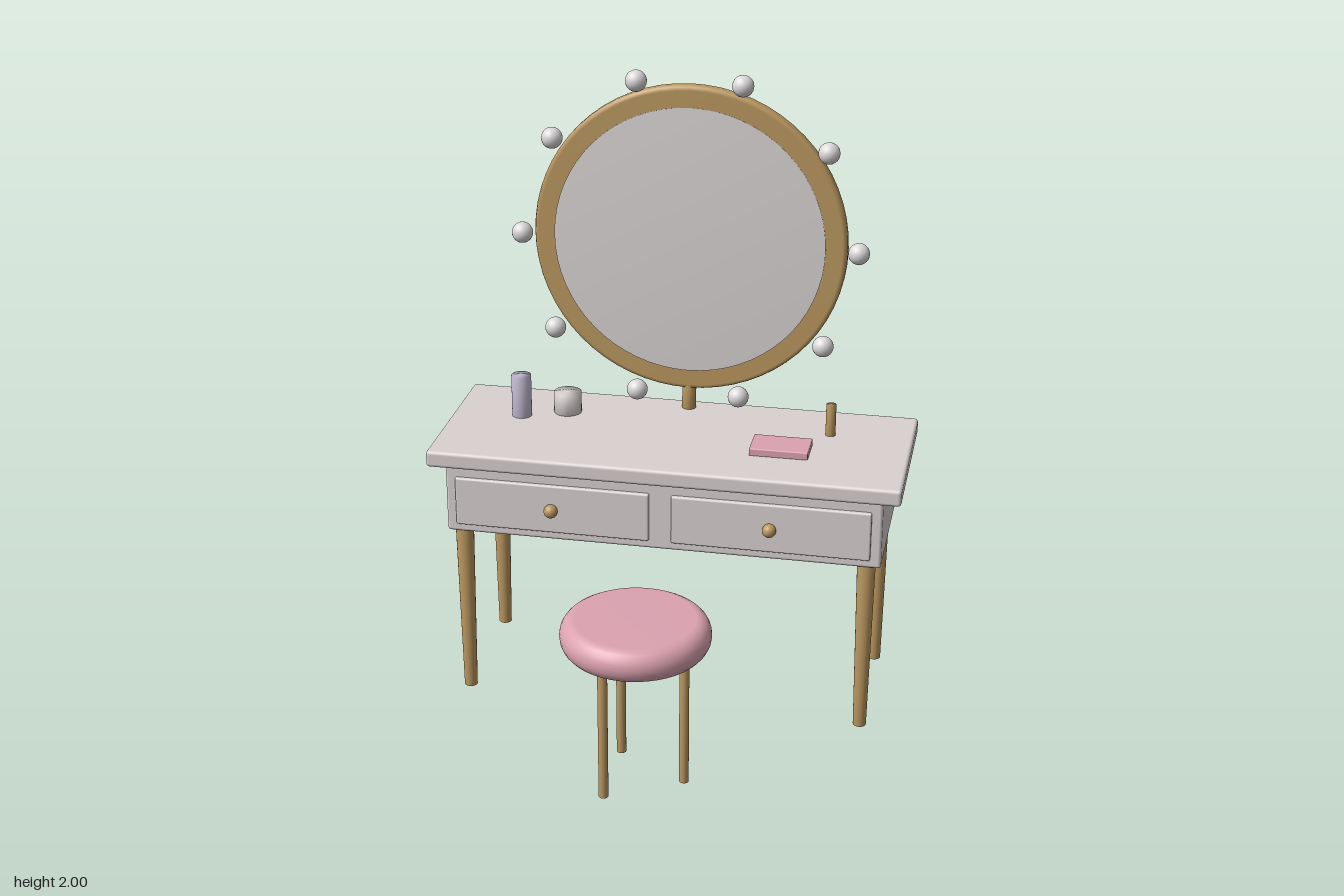
import * as THREE from 'three';
import { mergeVertices } from 'three/addons/utils/BufferGeometryUtils.js';
import { RoundedBoxGeometry } from 'three/addons/geometries/RoundedBoxGeometry.js';

const mat = (name, color) => {
  const m = new THREE.MeshStandardMaterial({ color });
  m.name = name;
  return m;
};

export function createModel() {
  const root = new THREE.Group();
  root.name = 'vanityTable';
  const white = mat('warmWhite', 0xd9d2d1);
  const gold = mat('brushedGold', 0xbb9860);
  const pink = mat('rosePink', 0xdca2b0);
  const lavender = mat('lavender', 0xc6bdd5);
  const silver = mat('mirrorSilver', 0xdad5d4);
  const glow = mat('bulbWhite', 0xdcd9da);

  const add = (name, geometry, material, x, y, z) => {
    const mesh = new THREE.Mesh(geometry, material);
    mesh.name = name;
    mesh.position.set(x, y, z);
    root.add(mesh);
    return mesh;
  };
  // box given by its extents, with softened edges
  const box = (name, material, x0, x1, y0, y1, z0, z1, bevel) =>
    add(name, new RoundedBoxGeometry(x1 - x0, y1 - y0, z1 - z0, 2, bevel), material,
      (x0 + x1) / 2, (y0 + y1) / 2, (z0 + z1) / 2);
  // cylinder whose normals blend smoothly over the rims
  const softCylinder = (rTop, rBottom, height, sides) => {
    const g = new THREE.CylinderGeometry(rTop, rBottom, height, sides);
    g.deleteAttribute('normal');
    g.deleteAttribute('uv');
    const merged = mergeVertices(g);
    merged.computeVertexNormals();
    return merged;
  };
  const post = (name, material, x, z, y0, y1, rTop, rBottom = rTop, sides = 20) =>
    add(name, softCylinder(rTop, rBottom, y1 - y0, sides), material, x, (y0 + y1) / 2, z);

  // table top and carcass
  box('tableTop', white, -0.745, 0.745, 0.822, 0.876, -0.575, -0.007, 0.011);
  box('carcass', white, -0.69, 0.69, 0.595, 0.824, -0.535, -0.033, 0.01);

  // drawers, knobs and tapered legs
  for (const s of [-1, 1]) {
    box('drawerFront', white, s * 0.346 - 0.311, s * 0.346 + 0.311, 0.625, 0.786, -0.048, -0.02, 0.006);
    add('drawerKnob', new THREE.SphereGeometry(0.022, 20, 14), gold, s * 0.345, 0.705, -0.01);
    for (const z of [-0.067, -0.503]) post('tableLeg', gold, s * 0.643, z, 0.018, 0.6, 0.029, 0.021);
  }

  // round mirror: bevelled backing disc, glass and stand
  const cy = 1.452;
  const frameProfile = [[0, -0.024], [0.488, -0.024], [0.499, -0.02], [0.503, -0.01],
    [0.503, 0.01], [0.499, 0.02], [0.488, 0.024], [0, 0.024]].map(p => new THREE.Vector2(...p));
  add('mirrorFrame', new THREE.LatheGeometry(frameProfile, 64), gold, 0, cy, -0.518).rotation.x = Math.PI / 2;
  add('mirrorGlass', softCylinder(0.435, 0.435, 0.012, 64), silver, 0, cy, -0.493).rotation.x = Math.PI / 2;
  post('mirrorStand', gold, 0, -0.518, 0.87, 0.97, 0.023);

  // ring of bulbs
  for (let i = 0; i < 10; i++) {
    const a = i * Math.PI / 5;
    add('bulb', new THREE.SphereGeometry(0.034, 20, 14), glow,
      Math.cos(a) * 0.54, cy + Math.sin(a) * 0.54, -0.486);
  }

  // things on the table
  post('perfumeBottle', lavender, -0.52, -0.348, 0.872, 1.016, 0.032, 0.032, 28);
  post('creamJar', white, -0.381, -0.406, 0.872, 0.945, 0.045, 0.045, 28);
  post('lipstick', gold, 0.482, -0.385, 0.872, 0.981, 0.016);
  box('powderCompact', pink, 0.252, 0.437, 0.874, 0.9, -0.292, -0.177, 0.004);

  // stool with a rounded cushion and three legs
  const cushion = [new THREE.Vector2(0, -0.053)];
  for (let i = 0; i <= 10; i++) {
    const a = -Math.PI / 2 + i * Math.PI / 10;
    cushion.push(new THREE.Vector2(0.183 + Math.cos(a) * 0.046, Math.sin(a) * 0.053));
  }
  cushion.push(new THREE.Vector2(0, 0.053));
  add('stoolCushion', new THREE.LatheGeometry(cushion, 48), pink, 0, 0.5, 0.341);
  for (let i = 0; i < 3; i++) {
    const a = i * Math.PI * 2 / 3;
    post('stoolLeg', gold, Math.cos(a) * 0.149, 0.341 + Math.sin(a) * 0.149, 0, 0.46, 0.015);
  }
  return root;
}
